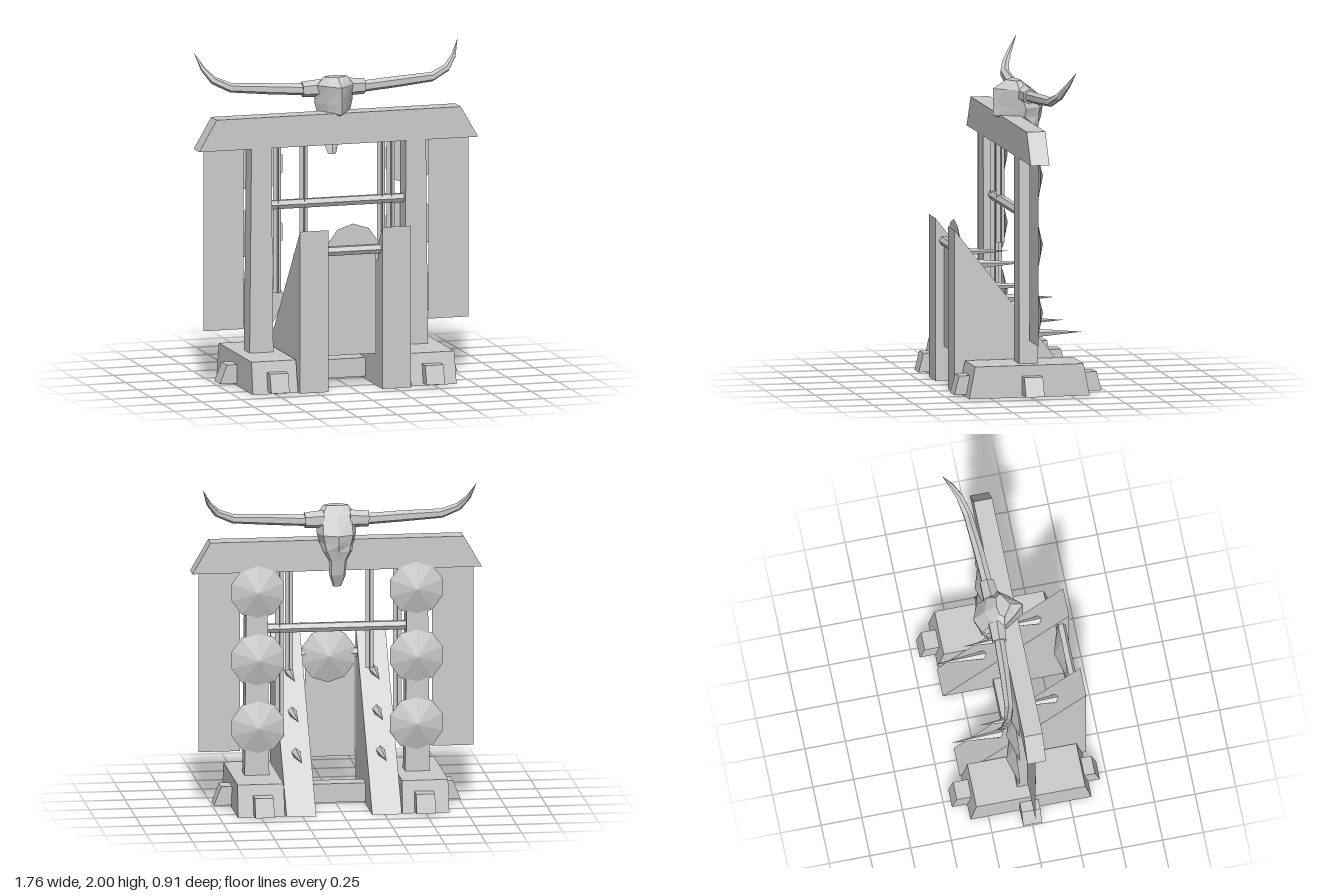
import * as THREE from 'three';

const stone = new THREE.MeshStandardMaterial({ color: 0xcccccc, side: THREE.DoubleSide, flatShading: true });
stone.name = 'paleGrey';

// Box standing on its origin, with its top face scaled
function taperBox(w, h, d, topW = w, topD = d) {
  const g = new THREE.BoxGeometry(w, h, d).translate(0, h / 2, 0);
  const p = g.attributes.position;
  for (let i = 0; i < p.count; i++) {
    if (p.getY(i) > h / 2) {
      p.setX(i, p.getX(i) * topW / w);
      p.setZ(i, p.getZ(i) * topD / d);
    }
  }
  g.computeVertexNormals();
  return g;
}

// Faceted skin through rings of points, with both ends closed
function loft(rings) {
  const out = [];
  const tri = (...pts) => pts.forEach((v) => out.push(v.x, v.y, v.z));
  const n = rings[0].length;
  for (let i = 0; i < rings.length - 1; i++) {
    for (let j = 0; j < n; j++) {
      const k = (j + 1) % n;
      const [a, b, c, d] = [rings[i][j], rings[i][k], rings[i + 1][k], rings[i + 1][j]];
      tri(a, b, c);
      tri(a, c, d);
    }
  }
  const first = rings[0], last = rings[rings.length - 1];
  for (let j = 1; j < n - 1; j++) {
    tri(first[0], first[j + 1], first[j]);
    tri(last[0], last[j], last[j + 1]);
  }
  const g = new THREE.BufferGeometry();
  g.setAttribute('position', new THREE.Float32BufferAttribute(out, 3));
  g.computeVertexNormals();
  return g;
}

// Tapered round branch through [x, y, z, radius] stations
function branch(stations, sides) {
  const pts = stations.map(([x, y, z]) => new THREE.Vector3(x, y, z));
  return loft(stations.map((st, i) => {
    const t = pts[Math.min(i + 1, pts.length - 1)].clone().sub(pts[Math.max(i - 1, 0)]).normalize();
    const u = new THREE.Vector3().crossVectors(t, new THREE.Vector3(0, 0, 1)).normalize();
    const v = new THREE.Vector3().crossVectors(t, u);
    return Array.from({ length: sides }, (_, j) => {
      const a = (j / sides) * Math.PI * 2;
      return pts[i].clone().addScaledVector(u, Math.cos(a) * st[3]).addScaledVector(v, Math.sin(a) * st[3]);
    });
  }));
}

// Skull from level rings: y, rear z, face z, half width
function skullGeometry() {
  const rows = [
    [1.365, -0.09, -0.12, 0.025], [1.44, -0.105, -0.152, 0.05], [1.53, -0.108, -0.172, 0.055],
    [1.59, -0.05, -0.19, 0.09], [1.635, 0.095, -0.205, 0.105], [1.69, 0.095, -0.212, 0.12],
    [1.8, 0.095, -0.14, 0.115], [1.852, 0.015, -0.07, 0.075],
  ];
  return loft(rows.map(([y, z0, z1, w]) => {
    const c = z1 + (z0 - z1) * 0.42;
    const half = [[0, z0], [w * 0.55, (z0 + c) / 2], [w, c], [w * 0.75, c + (z1 - c) * 0.72], [0, z1]];
    const other = half.slice(1, 4).reverse().map(([x, z]) => [-x, z]);
    return [...half, ...other].map(([x, z]) => new THREE.Vector3(x, y, z));
  }));
}

export function createModel() {
  const model = new THREE.Group();
  model.name = 'gateway';
  const add = (name, geometry, x = 0, y = 0, z = 0, parent = model) => {
    const mesh = new THREE.Mesh(geometry, stone);
    mesh.name = name;
    mesh.position.set(x, y, z);
    parent.add(mesh);
    return mesh;
  };

  // Shared parts
  const shield = new THREE.ConeGeometry(0.168, 0.052, 10).rotateX(-Math.PI / 2);
  const spike = new THREE.ConeGeometry(0.03, 0.32, 5).rotateX(-Math.PI / 2);
  const rail = (length) => new THREE.CylinderGeometry(0.03, 0.03, length, 6).rotateZ(Math.PI / 2);
  const rampShape = new THREE.Shape([[-0.41, 0.003], [0.368, 0.003], [-0.41, 0.995]].map(([x, y]) => new THREE.Vector2(x, y)));
  const ramp = new THREE.ExtrudeGeometry(rampShape, { depth: 0.18, bevelEnabled: false })
    .translate(0, 0, -0.09).rotateY(Math.PI / 2);

  // Lintel and cross members
  add('lintel', taperBox(1.76, 0.19, 0.115, 1.54, 0.115), 0, 1.45, 0);
  add('footBeam', taperBox(1.5, 0.115, 0.115, 1.41, 0.115), 0, 0.02, 0);
  add('upperRail', rail(0.88), 0, 1.092, 0);

  for (const s of [-1, 1]) {
    const side = s > 0 ? 'left' : 'right';

    // Footing, post and hanging wall panel
    add(side + 'Footing', taperBox(0.285, 0.195, 0.745, 0.28, 0.67), s * 0.5, 0.005, 0.012);
    add(side + 'FootingBeam', taperBox(0.115, 0.115, 0.91, 0.115, 0.85), s * 0.49, 0.02, 0);
    add(side + 'Post', taperBox(0.15, 1.27, 0.115, 0.125, 0.115), s * 0.488, 0.19, 0);
    add(side + 'Panel', new THREE.PlaneGeometry(0.25, 1.11), s * 0.71, 0.895, 0);

    // Shields on the rear of the post
    for (const y of [0.495, 0.912, 1.33]) add(side + 'Shield', shield, s * 0.482, y, -0.081);

    // Sloping buttress with spikes
    add(side + 'Buttress', ramp, s * 0.26 - 0.003, 0, 0);
    for (const [y, z] of [[0.77, 0.1], [0.555, -0.07], [0.338, -0.24]]) {
      add(side + 'Spike', spike, s * 0.257, y, z);
    }
  }

  // Hanging cords made of crossed strips
  for (const [x, bottom] of [[-0.372, 0.55], [-0.204, 0.83], [0.285, 0.83], [0.345, 0.55]]) {
    const h = 1.45 - bottom;
    const cord = new THREE.Group();
    cord.name = 'hangingCord';
    add('cordStripA', new THREE.PlaneGeometry(0.05, h), 0, 0, 0, cord);
    add('cordStripB', new THREE.PlaneGeometry(0.05, h).rotateY(Math.PI / 2), 0, 0, 0, cord);
    cord.position.set(x, bottom + h / 2, 0);
    model.add(cord);
  }

  // Banner, its rail and the shield behind
  add('bannerRail', rail(0.36), 0, 0.855, 0.357);
  add('banner', new THREE.PlaneGeometry(0.3, 0.63), -0.008, 0.53, 0.36);
  add('centreShield', shield, 0.004, 0.845, 0.309);

  // Horned skull facing the rear
  const head = new THREE.Group();
  head.name = 'hornedSkull';
  head.position.x = 0.008;
  model.add(head);
  add('skull', skullGeometry(), 0, 0, 0, head);
  for (const s of [-1, 1]) {
    add('hornSocket', branch([[s * 0.08, 1.775, -0.085, 0.055], [s * 0.195, 1.772, -0.09, 0.048]], 6), 0, 0, 0, head);
    add('horn', branch([
      [s * 0.17, 1.77, -0.088, 0.035], [s * 0.4, 1.785, -0.1, 0.034], [s * 0.635, 1.8, -0.12, 0.029],
      [s * 0.735, 1.845, -0.148, 0.024], [s * 0.79, 1.91, -0.185, 0.015], [s * 0.83, 2.0, -0.235, 0.001],
    ], 6), 0, 0, 0, head);
  }
  return model;
}
